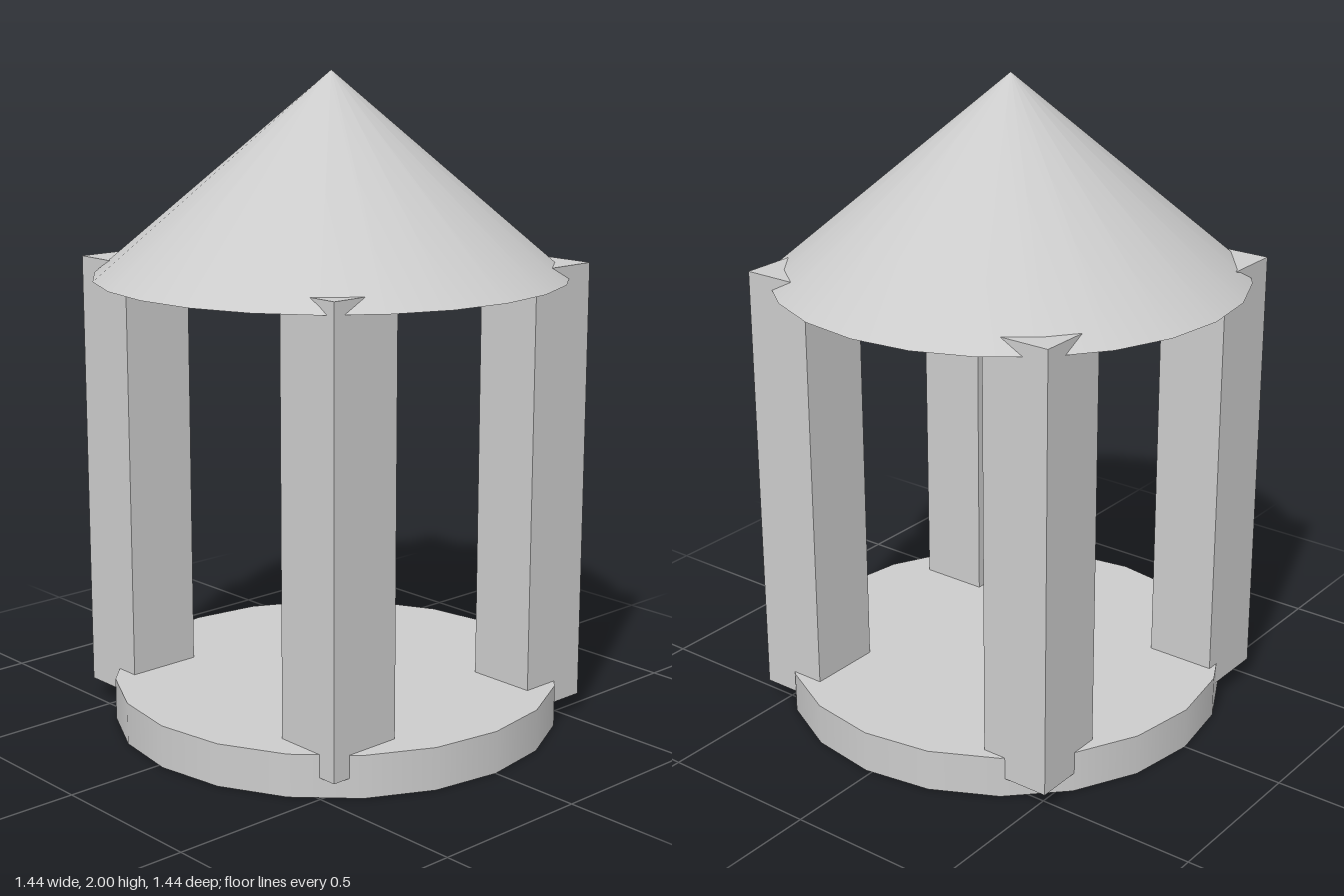
import * as THREE from 'three';

const material = new THREE.MeshStandardMaterial({ color: 0xcccccc });

function addPart(group, name, geometry, x, y, z) {
  const mesh = new THREE.Mesh(geometry, material);
  mesh.name = name;
  mesh.position.set(x, y, z);
  group.add(mesh);
}

export function createModel() {
  const group = new THREE.Group();
  group.name = 'pavilion';

  // Round floor slab, slightly off centre
  addPart(group, 'base', new THREE.CylinderGeometry(0.69, 0.69, 0.13, 20), 0.02, 0.065, 0);

  // Square columns that sink into the base and poke through the roof rim
  const bottom = 0.06, top = 1.43, width = 0.22, depth = 0.237;
  const columns = [
    ['frontLeftColumn', 0.44, 0.375],
    ['frontRightColumn', -0.483, 0.375],
    ['backLeftColumn', 0.44, -0.43],
    ['backRightColumn', -0.43, -0.43],
  ];
  const columnGeometry = new THREE.BoxGeometry(width, top - bottom, depth);
  for (const [name, x, z] of columns) {
    addPart(group, name, columnGeometry, x, (top + bottom) / 2, z);
  }

  // Conical roof with a closed underside
  const eaves = 1.39;
  addPart(group, 'roof', new THREE.ConeGeometry(0.72, 2 - eaves, 24), 0, (2 + eaves) / 2, 0);

  return group;
}
